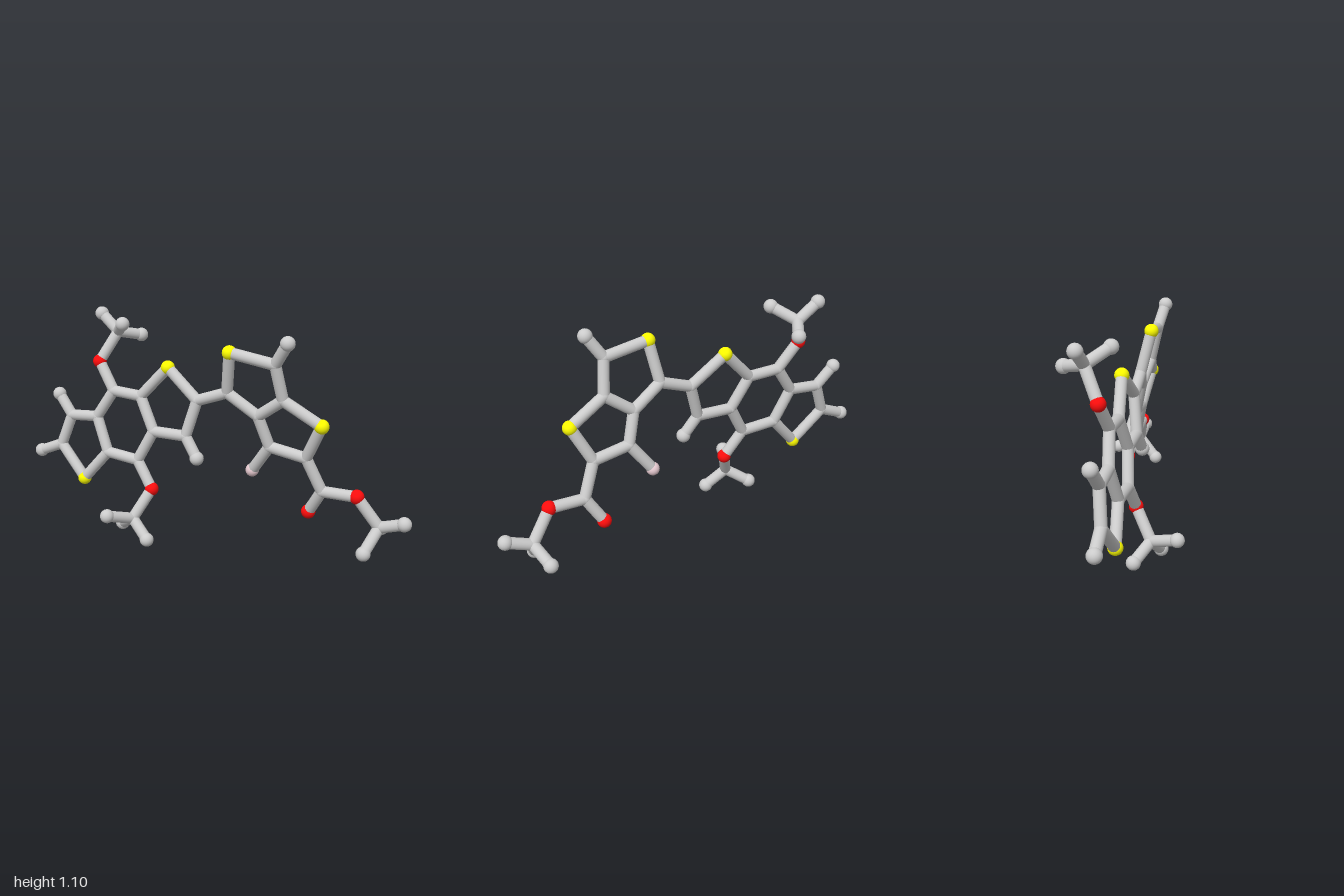
import * as THREE from 'three';

const STICK = 0.027, BALL = 0.034;
const grey = new THREE.MeshStandardMaterial({ color: 0xcccccc });
const yellow = new THREE.MeshStandardMaterial({ color: 0xffff00 });
const red = new THREE.MeshStandardMaterial({ color: 0xff0d0d });
const pink = new THREE.MeshStandardMaterial({ color: 0xe8ccd2 });

// the two flat ring systems each lie in a slightly tilted plane
const leftPlane = (x, y) => 0.099 + 0.09 * x - 0.129 * y;
const rightPlane = (x, y) => -0.174 + 0.06 * x + 0.23 * y;

// kinds of atom: c joint, h end cap, s sulfur, o oxygen, f fluorine
const kinds = {
  c: ['carbonJoint', STICK + 0.001, grey],
  h: ['hydrogenBall', BALL, grey],
  s: ['sulfurBall', BALL, yellow],
  o: ['oxygenBall', BALL, red],
  f: ['fluorineBall', BALL - 0.002, pink],
};

// atoms are [kind, x, y, optional z]; bonds are pairs of keys
const parts = [
  {
    name: 'threeRingCore', plane: leftPlane,
    atoms: {
      h1: ['h', -0.86, 0.647], h2: ['h', -0.967, 0.337], h3: ['h', -0.021, 0.449],
      a: ['c', -0.775, 0.55], b: ['c', -0.834, 0.392], s1: ['s', -0.68, 0.24],
      c: ['c', -0.54, 0.396], d: ['c', -0.615, 0.565], e: ['c', -0.52, 0.706],
      f: ['c', -0.358, 0.7], s2: ['s', -0.209, 0.856], g: ['c', -0.037, 0.722],
      h: ['c', -0.09, 0.545], i: ['c', -0.273, 0.54], j: ['c', -0.358, 0.385],
    },
    bonds: 'h1-a h2-b h3-h a-b b-s1 s1-c c-d d-a d-e e-f f-s2 s2-g g-h h-i i-f i-j j-c',
  },
  {
    name: 'upperMethoxy', plane: leftPlane,
    atoms: {
      o1: ['o', -0.615, 0.84, -0.069], m1: ['c', -0.545, 0.984, -0.137],
      m1a: ['h', -0.647, 1.064, -0.154], m1b: ['h', -0.46, 1.043, -0.038],
      m1c: ['h', -0.472, 0.957, -0.238],
    },
    bonds: 'e-o1 o1-m1 m1-m1a m1-m1b m1-m1c',
  },
  {
    name: 'lowerMethoxy', plane: leftPlane,
    atoms: {
      o2: ['o', -0.267, 0.257], m2: ['c', -0.333, 0.118, 0.118],
      m2a: ['h', -0.402, 0.16, 0.242], m2b: ['h', -0.433, 0.053, 0.05],
      m2c: ['h', -0.235, 0.037, 0.155],
    },
    bonds: 'j-o2 o2-m2 m2-m2a m2-m2b m2-m2c',
  },
  {
    name: 'twoRingCore', plane: rightPlane,
    atoms: {
      k: ['c', 0.123, 0.78], s3: ['s', 0.155, 0.979], l: ['c', 0.38, 0.947],
      h4: ['h', 0.449, 1.053, 0.098], m: ['c', 0.406, 0.78], n: ['c', 0.273, 0.684],
      s4: ['s', 0.588, 0.679], p: ['c', 0.503, 0.508], q: ['c', 0.32, 0.535],
      f1: ['f', 0.219, 0.396],
    },
    bonds: 'g-k k-s3 s3-l l-h4 l-m m-n n-k m-s4 s4-p p-q q-n q-f1',
  },
  {
    name: 'methylEster', plane: rightPlane,
    atoms: {
      r: ['c', 0.572, 0.348], o3: ['o', 0.497, 0.225, -0.096], o4: ['o', 0.743, 0.353],
      m3: ['c', 0.845, 0.214, -0.075], m3a: ['h', 0.964, 0.257, -0.056],
      m3b: ['h', 0.804, 0.112, 0.015], m3c: ['h', 0.82, 0.163, -0.196],
    },
    bonds: 'p-r r-o3 r-o4 o4-m3 m3-m3a m3-m3b m3-m3c',
  },
];

// straight stick between two points
function bond(from, to) {
  const dir = to.clone().sub(from);
  const stick = new THREE.Mesh(new THREE.CylinderGeometry(STICK, STICK, dir.length(), 20, 1, true), grey);
  stick.position.copy(from).add(to).multiplyScalar(0.5);
  stick.quaternion.setFromUnitVectors(new THREE.Vector3(0, 1, 0), dir.normalize());
  stick.name = 'bond';
  return stick;
}

export function createModel() {
  const model = new THREE.Group();
  model.name = 'moleculeModel';
  const at = {};
  for (const { name, plane, atoms, bonds } of parts) {
    const group = new THREE.Group();
    group.name = name;
    for (const [key, [kind, x, y, z = plane(x, y)]] of Object.entries(atoms)) {
      const [label, radius, material] = kinds[kind];
      const ball = new THREE.Mesh(new THREE.SphereGeometry(radius, 24, 16), material);
      ball.name = label;
      ball.position.set(x, y, z);
      at[key] = ball.position;
      group.add(ball);
    }
    for (const pair of bonds.split(' ')) {
      const [p, q] = pair.split('-');
      group.add(bond(at[p], at[q]));
    }
    model.add(group);
  }
  return model;
}
